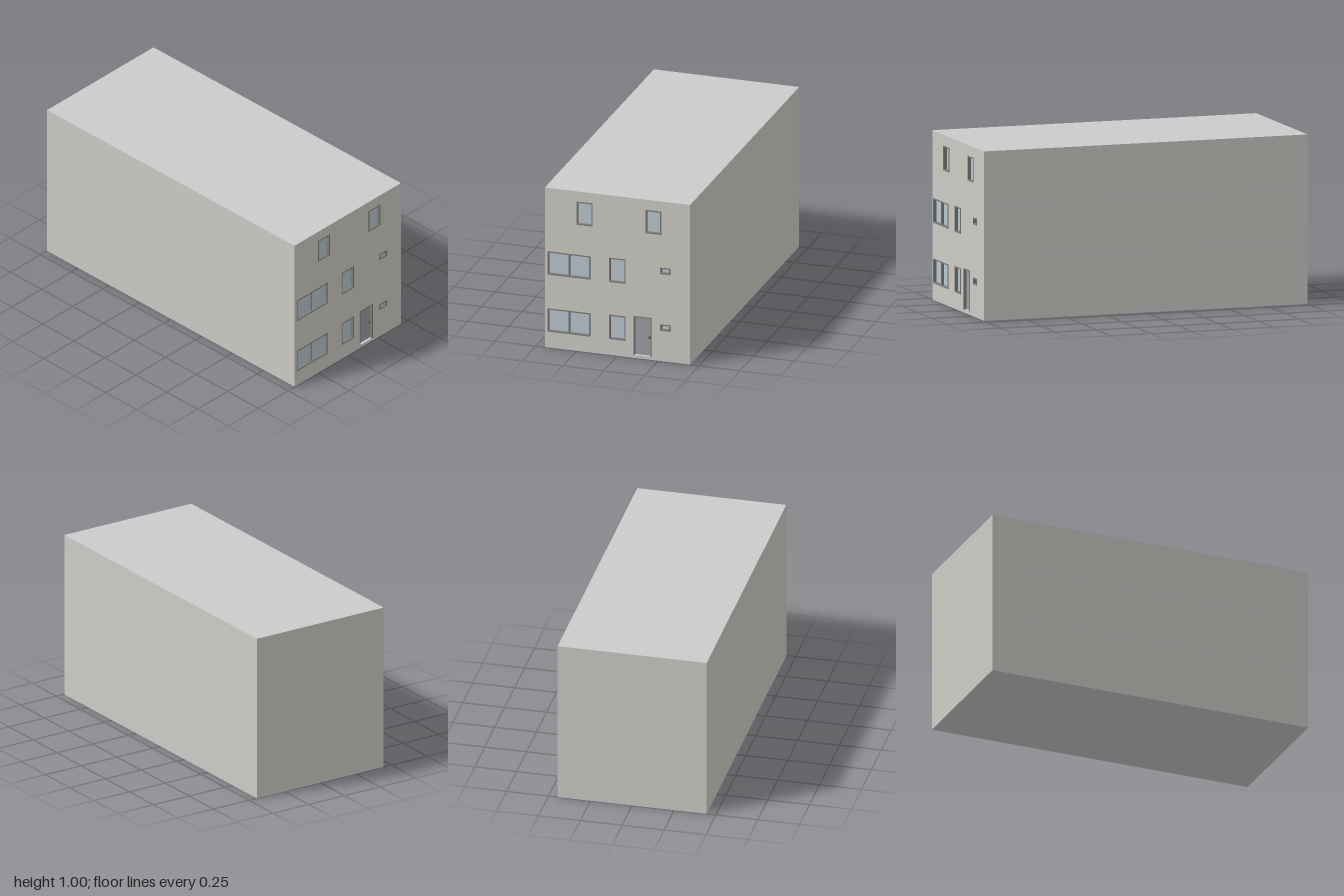
import * as THREE from 'three';

const mat = (color) => new THREE.MeshStandardMaterial({ color });
const WALL = mat(0xcdcbc4), SLAB = mat(0xc2c2bf), FRAME = mat(0x7c7c7a);
const GLASS = mat(0xb9c6ce), DOOR = mat(0x9a9fa4), HANDLE = mat(0x555555);

const HALF = 0.445, FRONT = 0.997, BACK = -1, T = 0.04; // half width, facade planes, wall thickness

// Box given by its extents
function box(name, material, x0, x1, y0, y1, z0, z1) {
  const mesh = new THREE.Mesh(new THREE.BoxGeometry(x1 - x0, y1 - y0, z1 - z0), material);
  mesh.position.set((x0 + x1) / 2, (y0 + y1) / 2, (z0 + z1) / 2);
  mesh.name = name;
  return mesh;
}

function rect(PathType, x0, x1, y0, y1) {
  return new PathType([[x0, y0], [x1, y0], [x1, y1], [x0, y1]].map(([x, y]) => new THREE.Vector2(x, y)));
}

// Upright panel with rectangular holes, from z0 to z1
function panel(name, material, [x0, x1, y0, y1], holes, z0, z1) {
  const shape = rect(THREE.Shape, x0, x1, y0, y1);
  shape.holes = holes.map((h) => rect(THREE.Path, ...h));
  const mesh = new THREE.Mesh(
    new THREE.ExtrudeGeometry(shape, { depth: z1 - z0, bevelEnabled: false }), material);
  mesh.position.z = z0;
  mesh.name = name;
  return mesh;
}

// Framed window with one or more recessed panes
function makeWindow([x0, x1, y0, y1], panes) {
  const g = new THREE.Group();
  g.name = 'window';
  const b = 0.007;
  g.add(panel('windowFrame', FRAME, [x0, x1, y0, y1], [[x0 + b, x1 - b, y0 + b, y1 - b]], 0.965, 1));
  g.add(box('glass', GLASS, x0 + b, x1 - b, y0 + b, y1 - b, 0.97, 0.98));
  for (let i = 1; i < panes; i++) {
    const x = x0 + ((x1 - x0) * i) / panes;
    g.add(box('mullion', FRAME, x - 0.0025, x + 0.0025, y0 + b, y1 - b, 0.97, 0.995));
  }
  return g;
}

// Door leaf with side and head frame and a handle
function makeDoor([x0, x1, y0, y1]) {
  const g = new THREE.Group();
  g.name = 'door';
  const b = 0.006;
  g.add(box('doorJamb', FRAME, x0, x0 + b, y0, y1, 0.965, 1));
  g.add(box('doorJamb', FRAME, x1 - b, x1, y0, y1, 0.965, 1));
  g.add(box('doorHead', FRAME, x0 + b, x1 - b, y1 - b, y1, 0.965, 1));
  g.add(box('doorLeaf', DOOR, x0 + b, x1 - b, y0, y1 - b, 0.97, 0.982));
  g.add(box('doorHandle', HANDLE, x1 - 0.018, x1 - 0.011, 0.127, 0.141, 0.982, 0.992));
  return g;
}

export function createModel() {
  const house = new THREE.Group();
  house.name = 'house';

  // Floor slabs and roof slab
  const slabs = [[0, 0.02], [0.36, 0.38], [0.67, 0.69], [0.98, 0.995]];
  slabs.forEach(([y0, y1], i) =>
    house.add(box(i === 3 ? 'roofSlab' : 'floorSlab', SLAB, -HALF, HALF, y0, y1, BACK, FRONT)));

  // Openings per storey: x0, x1, y0, y1, panes
  const wide = (y) => [-0.428, -0.166, y, y + 0.145, 2];
  const tall = (y) => [-0.052, 0.05, y, y + 0.152, 1];
  const small = (y) => [0.263, 0.324, y, y + 0.04, 1];
  const upper = (x) => [x, x + 0.098, 0.787, 0.932, 1];
  const storeys = [
    [wide(0.1), tall(0.1), small(0.19)],
    [wide(0.455), tall(0.455), small(0.543)],
    [upper(-0.25), upper(0.172)],
  ];
  const door = [0.1, 0.208, 0.02, 0.262];

  storeys.forEach((windows, i) => {
    const y0 = slabs[i][1], y1 = slabs[i + 1][0];
    const g = new THREE.Group();
    g.name = `storey${i + 1}`;

    // Side and back walls
    for (const s of [-1, 1]) {
      const a = s * HALF, b = s * (HALF - T);
      g.add(box('sideWall', WALL, Math.min(a, b), Math.max(a, b), y0, y1, BACK, FRONT - T));
    }
    g.add(box('backWall', WALL, -HALF + T, HALF - T, y0, y1, BACK, BACK + T));

    // Front wall, with the doorway cut up from its lower edge on the ground floor
    const holes = windows.map((w) => w.slice(0, 4));
    if (i === 0) {
      const [dx0, dx1, , dy1] = door;
      const left = holes.filter((h) => h[1] < dx0), right = holes.filter((h) => h[0] > dx1);
      g.add(panel('frontWall', WALL, [-HALF, dx0, y0, y1], left, FRONT - T, FRONT));
      g.add(panel('frontWall', WALL, [dx1, HALF, y0, y1], right, FRONT - T, FRONT));
      g.add(box('doorLintel', WALL, dx0, dx1, dy1, y1, FRONT - T, FRONT));
      g.add(makeDoor(door));
    } else {
      g.add(panel('frontWall', WALL, [-HALF, HALF, y0, y1], holes, FRONT - T, FRONT));
    }
    windows.forEach((w) => g.add(makeWindow(w, w[4])));
    house.add(g);
  });

  return house;
}
